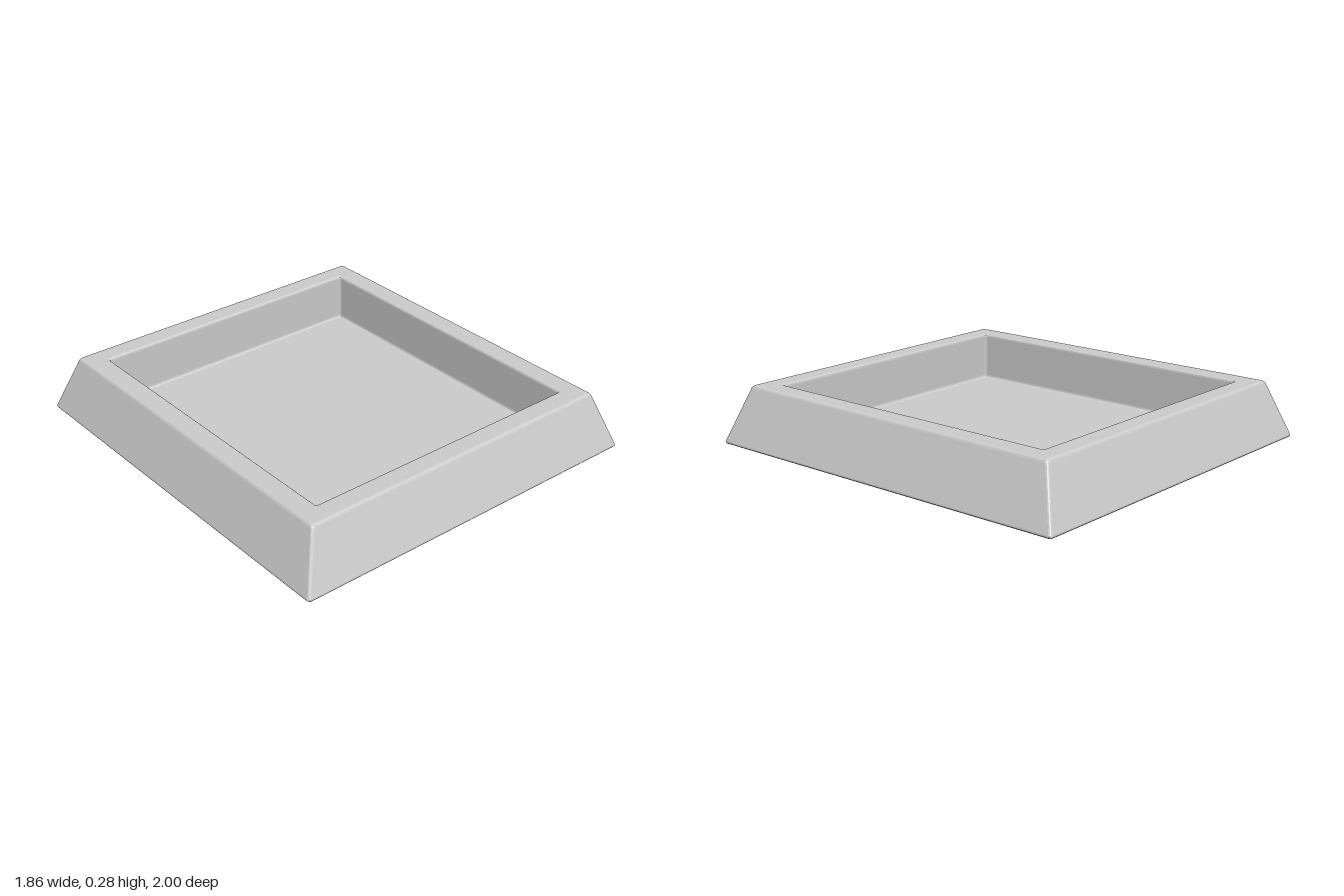
import * as THREE from 'three';

const HALF_X = 0.93, HALF_Z = 1.0;
const BEVEL = 0.014, STEPS = 3;

// Section through the wall as [inset from the outer edge, height], from base to floor
const section = [[-0.004, 0], [0.1, 0.284], [0.205, 0.284], [0.205, 0.042]];

// Round each corner of the section with a small arc
function roundedSection() {
  const pts = section.map(([u, v]) => new THREE.Vector2(u, v));
  const path = [new THREE.Vector2(0.3, 0), ...pts, new THREE.Vector2(0.3, 0.042)];
  const out = [];
  for (let i = 1; i < path.length - 1; i++) {
    const p = path[i];
    const toward = (q) => q.clone().sub(p).setLength(BEVEL).add(p);
    const arc = new THREE.QuadraticBezierCurve(toward(path[i - 1]), p, toward(path[i + 1]));
    out.push(...arc.getPoints(STEPS));
  }
  return out;
}

// Rectangle with softened corners, counterclockwise seen from above
function ring(inset, y) {
  const r = 0.012, pts = [];
  for (let c = 0; c < 4; c++) {
    const sx = c === 0 || c === 3 ? 1 : -1;
    const sz = c < 2 ? -1 : 1;
    for (let k = 0; k <= STEPS; k++) {
      const a = (c + k / STEPS) * Math.PI / 2;
      pts.push([
        sx * (HALF_X - inset - r) + r * Math.cos(a),
        y,
        sz * (HALF_Z - inset - r) - r * Math.sin(a),
      ]);
    }
  }
  return pts;
}

// Sweep the section round the rectangle and close the base and the floor
function trayGeometry() {
  const rings = roundedSection().map((p) => ring(p.x, p.y));
  const n = rings[0].length, last = rings.length - 1;
  const positions = rings.flat(2);
  const base = rings.length * n, floor = base + 1;
  positions.push(0, rings[0][0][1], 0, 0, rings[last][0][1], 0);
  const index = [];
  for (let j = 0; j < n; j++) {
    const k = (j + 1) % n;
    for (let i = 0; i < last; i++) {
      const a = i * n + j, b = i * n + k;
      index.push(a, b, b + n, a, b + n, a + n);
    }
    index.push(base, k, j);
    index.push(floor, last * n + j, last * n + k);
  }
  const g = new THREE.BufferGeometry();
  g.setAttribute('position', new THREE.Float32BufferAttribute(positions, 3));
  g.setIndex(index);
  const flat = g.toNonIndexed();
  flat.computeVertexNormals();
  return flat;
}

export function createModel() {
  const group = new THREE.Group();
  group.name = 'slopedTray';
  const material = new THREE.MeshStandardMaterial({ color: 0xcccccc, flatShading: true });
  const tray = new THREE.Mesh(trayGeometry(), material);
  tray.name = 'tray';
  group.add(tray);
  return group;
}
